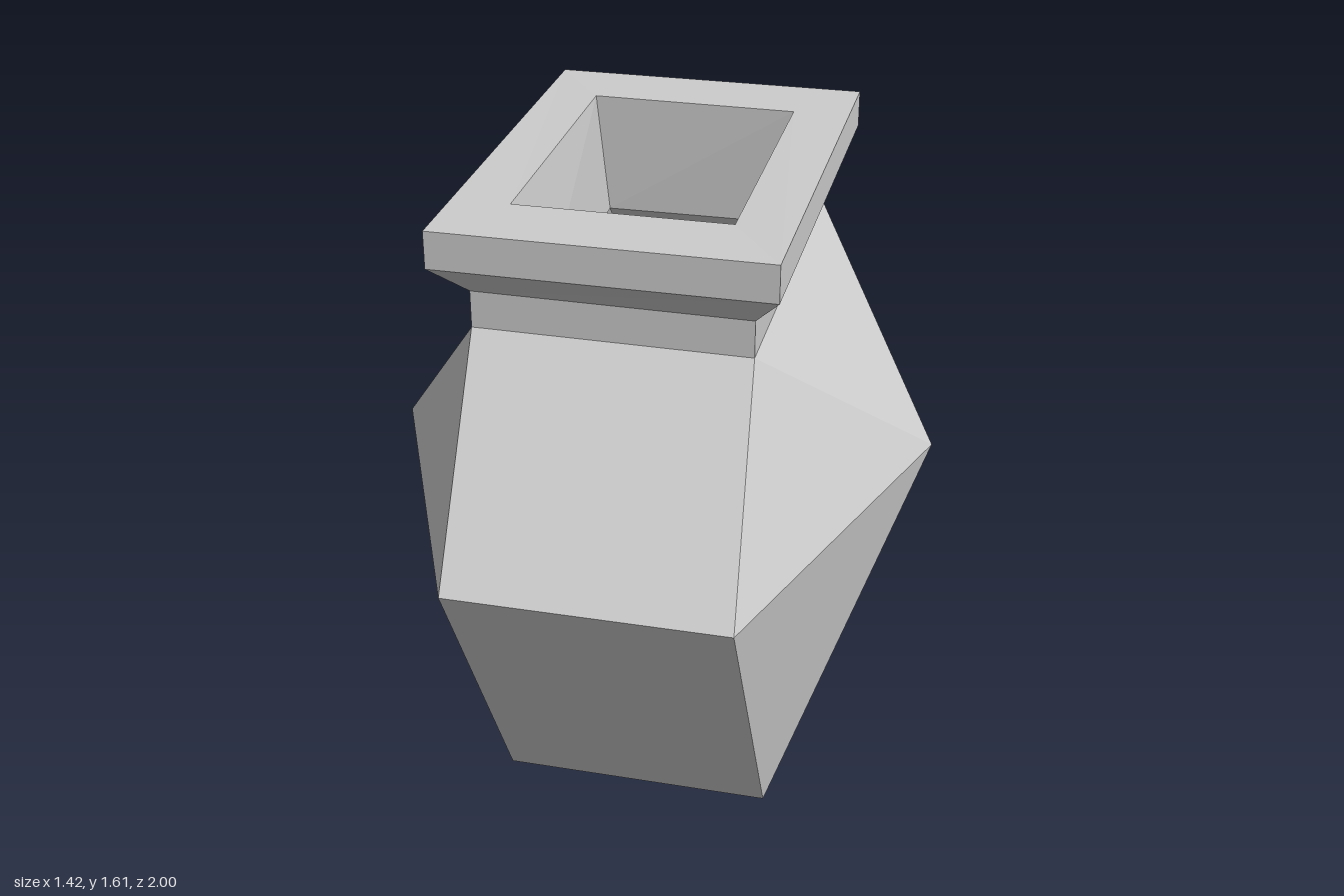
import * as THREE from 'three';

const material = new THREE.MeshStandardMaterial({ color: 0xcccccc, flatShading: true });

// Rings run front-left, front-right, back-right, back-left (the belly adds a point at each side).
const quadRing = (corners, yFront, yBack) =>
  corners.map(([x, z], i) => [x, i < 2 ? yFront : yBack, z]);
const shrink = (ring, s, lift = 0) =>
  ring.map(([x, y, z]) => [x * s, y + lift, z * s]);

function faceted(name, faces) {
  const positions = [];
  for (const f of faces)
    for (let i = 1; i < f.length - 1; i++) positions.push(...f[0], ...f[i], ...f[i + 1]);
  const geometry = new THREE.BufferGeometry();
  geometry.setAttribute('position', new THREE.Float32BufferAttribute(positions, 3));
  geometry.computeVertexNormals();
  const mesh = new THREE.Mesh(geometry, material);
  mesh.name = name;
  return mesh;
}

// Four flat walls between two rings of four corners
const walls = (a, b) => a.map((p, i) => {
  const j = (i + 1) % 4;
  return [p, a[j], b[j], b[i]];
});

// Facets between a four-corner ring and the six-point belly ring
function bellyFacets(q, h, flip = false) {
  const faces = [];
  for (const side of [0, 1]) {
    const a = side * 2, b = a + 1, c = (a + 2) % 4;
    const k = side * 3, tip = h[k + 2], next = h[(k + 3) % 6];
    faces.push(
      [q[a], q[b], h[k + 1], h[k]],
      [q[b], q[c], tip],
      [q[b], tip, h[k + 1]],
      [q[c], next, tip]
    );
  }
  return flip ? faces.map((f) => f.reverse()) : faces;
}

export function createModel() {
  const group = new THREE.Group();
  group.name = 'vase';

  const neckPlan = [[-0.42, 0.44], [0.27, 0.53], [0.385, -0.43], [-0.3, -0.515]];
  const rimPlan = [[-0.5, 0.54], [0.33, 0.64], [0.47, -0.52], [-0.36, -0.62]];

  const base = quadRing([[-0.37, 0.44], [0.32, 0.52], [0.42, -0.44], [-0.27, -0.52]], 0, 0);
  const belly = [
    [-0.42, 0.84, 0.92], [0.27, 0.84, 1], [0.71, 0.87, 0.1],
    [0.47, 0.84, -0.93], [-0.21, 0.84, -1], [-0.71, 0.82, -0.03]
  ];
  const neckLow = quadRing(neckPlan, 1.305, 1.325);
  const neckHigh = quadRing(neckPlan, 1.4, 1.42);
  const rimLow = quadRing(rimPlan, 1.495, 1.517);
  const rimHigh = quadRing(rimPlan, 1.59, 1.613);
  const mouth = quadRing([[-0.33, 0.355], [0.21, 0.42], [0.3, -0.34], [-0.24, -0.41]], 1.592, 1.61);
  const throat = quadRing([[-0.27, 0.36], [0.22, 0.415], [0.31, -0.345], [-0.205, -0.4]], 1.27, 1.29);
  const innerBelly = shrink(belly, 0.84);
  const floor = shrink(base, 0.82, 0.13);

  // Outer shell
  group.add(faceted('base', [[...base].reverse()]));
  group.add(faceted('lowerBody', bellyFacets(base, belly)));
  group.add(faceted('shoulder', bellyFacets(neckLow, belly, true)));
  group.add(faceted('neck', walls(neckLow, neckHigh)));
  group.add(faceted('rim', [
    ...walls(neckHigh, rimLow), ...walls(rimLow, rimHigh), ...walls(rimHigh, mouth)
  ]));

  // Hollow interior
  group.add(faceted('innerNeck', walls(mouth, throat)));
  group.add(faceted('innerBody', [
    ...bellyFacets(throat, innerBelly), ...bellyFacets(floor, innerBelly, true), floor
  ]));
  return group;
}
